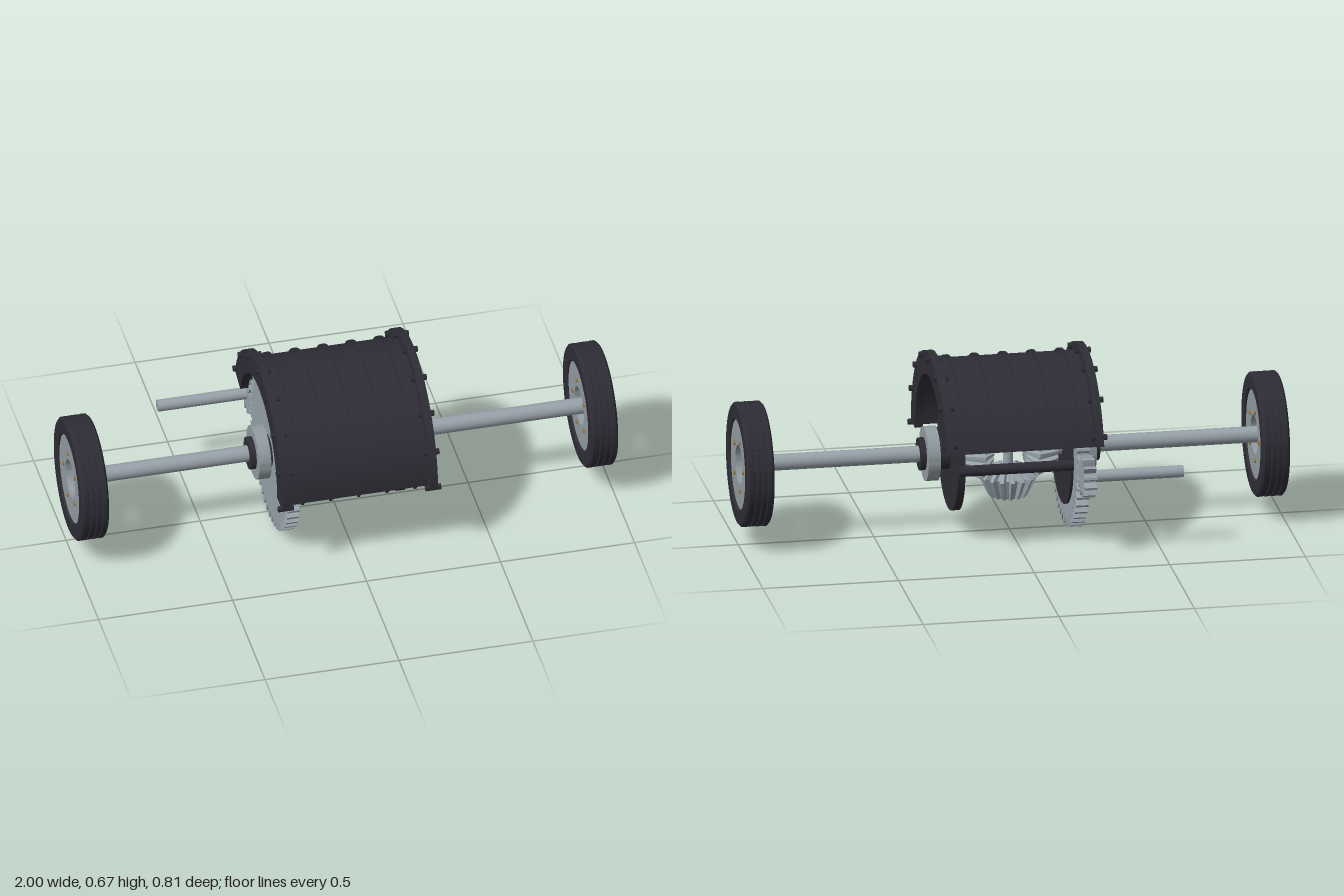
import * as THREE from 'three';
import { toCreasedNormals } from 'three/addons/utils/BufferGeometryUtils.js';

const AXIS_Y = 0.3, AXIS_Z = 0.03;

export function createModel() {
  const mat = (name, color) => {
    const m = new THREE.MeshStandardMaterial({ color });
    m.name = name;
    return m;
  };
  const dark = mat('dark casing', 0x2e2d36);
  const steel = mat('gear steel', 0x98a2aa);
  const plate = mat('hub grey', 0x929ca1);
  const brass = mat('brass', 0xa07838);

  const model = new THREE.Group();
  const drive = new THREE.Group();
  drive.name = 'driveLine';
  drive.position.set(0, AXIS_Y, AXIS_Z);
  model.add(drive);

  const add = (name, geo, material, parent = drive) => {
    const mesh = new THREE.Mesh(geo, material);
    mesh.name = name;
    parent.add(mesh);
    return mesh;
  };
  // Cylinder along x between x0 and x1
  const rod = (r, x0, x1, y = 0, z = 0, sides = 40) =>
    new THREE.CylinderGeometry(r, r, x1 - x0, sides)
      .rotateZ(-Math.PI / 2).translate((x0 + x1) / 2, y, z);
  // Flat shape (its x axis points to -z) extruded along x
  const slab = (shape, x0, x1) => toCreasedNormals(
    new THREE.ExtrudeGeometry(shape, { depth: x1 - x0, bevelEnabled: false, curveSegments: 48 })
      .rotateY(Math.PI / 2).translate(x0, 0, 0), 0.5);
  // Closed [radius, x] profile turned around the x axis
  const turned = (pts) => toCreasedNormals(
    new THREE.LatheGeometry([...pts, pts[0]].map(([r, y]) => new THREE.Vector2(r, y)), 64)
      .rotateZ(-Math.PI / 2), 0.5);
  const ring = (rIn, rOut, x0, x1) => turned([[rIn, x0], [rOut, x0], [rOut, x1], [rIn, x1]]);

  // Part-round arch, running from the front over the top to the rear
  const START = THREE.MathUtils.degToRad(17);
  const arch = (rIn, rOut, x0, x1) => {
    const s = new THREE.Shape();
    s.absarc(0, 0, rOut, START, Math.PI, false);
    s.absarc(0, 0, rIn, Math.PI, START, true);
    s.closePath();
    return slab(s, x0, x1);
  };

  // Spur gear outline
  const spur = (teeth, root, mid, tip, phase = 0) => {
    const pts = [];
    for (let i = 0; i < teeth; i++) {
      for (const [f, r] of [[-0.38, root], [-0.24, mid], [-0.12, tip], [0.12, tip], [0.24, mid], [0.38, root]]) {
        const a = ((i + f) / teeth) * Math.PI * 2 + phase;
        pts.push(new THREE.Vector2(r * Math.cos(a), r * Math.sin(a)));
      }
    }
    return new THREE.Shape(pts);
  };

  // Bevel gear with its axis on y, cone apex at the origin
  const bevelGear = (teeth = 16) => {
    const rows = [ // height, root radius, tip radius
      [0.06, 0, 0], [0.06, 0.038, 0.055], [0.1, 0.083, 0.107],
      [0.15, 0.066, 0.084], [0.175, 0.056, 0.07], [0.175, 0, 0]];
    const n = teeth * 4, pos = [], idx = [];
    for (const [y, root, tip] of rows) {
      for (let i = 0; i < n; i++) {
        const f = [-0.32, -0.16, 0.16, 0.32][i % 4];
        const a = ((Math.floor(i / 4) + f) / teeth) * Math.PI * 2;
        const r = i % 4 === 0 || i % 4 === 3 ? root : tip;
        pos.push(r * Math.cos(a), y, -r * Math.sin(a));
      }
    }
    for (let k = 0; k < rows.length - 1; k++) {
      for (let i = 0; i < n; i++) {
        const j = (i + 1) % n, a = k * n + i, b = k * n + j;
        idx.push(a, b, b + n, a, b + n, a + n);
      }
    }
    const g = new THREE.BufferGeometry();
    g.setAttribute('position', new THREE.Float32BufferAttribute(pos, 3));
    g.setIndex(idx);
    const flat = g.toNonIndexed();
    flat.computeVertexNormals();
    return flat;
  };

  // Wheels: grooved tyre, drilled hub plate and brass bolts
  const tyre = [[0.165, -0.046], [0.17, -0.05], [0.22, -0.05], [0.228, -0.043]];
  for (const x of [-0.022, 0, 0.022]) {
    tyre.push([0.228, x - 0.005], [0.222, x - 0.003], [0.222, x + 0.003], [0.228, x + 0.005]);
  }
  tyre.push([0.228, 0.043], [0.22, 0.05], [0.17, 0.05], [0.165, 0.046]);
  for (const side of [-1, 1]) {
    const wheel = new THREE.Group();
    wheel.name = side > 0 ? 'leftWheel' : 'rightWheel';
    wheel.position.x = side * 0.95;
    drive.add(wheel);
    add('tyre', turned(tyre), dark, wheel);
    add('hub', ring(0.072, 0.166, -0.042, 0.042), plate, wheel);
    for (let i = 0; i < 5; i++) {
      const a = (i / 5) * Math.PI * 2;
      add('hubBolt', rod(0.008, -0.047, 0.047, 0.097 * Math.sin(a), -0.097 * Math.cos(a), 6), brass, wheel);
    }
  }

  // Half shafts, bearings and carrier plates
  for (const s of [-1, 1]) {
    const span = (a, b) => (s > 0 ? [a, b] : [-b, -a]);
    add('halfShaft', rod(0.03, ...span(0.14, 0.92)), steel);
    add('bearing', rod(0.06, ...span(0.22, 0.33)), dark);
    add('bearingHolder', ring(0.06, 0.1, ...span(0.265, 0.31)), plate);
    add('carrierPlate', rod(0.212, ...span(0.195, s > 0 ? 0.222 : 0.204), 0, 0, 64), dark);
    add('carrierRod', rod(0.02, -0.2, 0.222, 0, s * 0.222, 16), dark);
  }

  // Ring gear and drive pinion
  add('ringGear', slab(spur(48, 0.264, 0.282, 0.297, Math.PI / 2), -0.25, -0.204), steel);
  const pinion = new THREE.Group();
  pinion.name = 'drivePinion';
  pinion.position.z = -0.36;
  drive.add(pinion);
  add('pinionGear', slab(spur(12, 0.054, 0.067, 0.078, 0.22), -0.25, -0.204), steel, pinion);
  add('pinionShaft', rod(0.022, -0.58, -0.23), steel, pinion);

  // Four meshing bevel gears on a vertical cross shaft
  const bevel = bevelGear();
  for (let i = 0; i < 4; i++) {
    add(i % 2 ? 'sideGear' : 'spiderGear', bevel, steel).rotation.z = (i * Math.PI) / 2;
  }
  add('crossShaft', new THREE.CylinderGeometry(0.018, 0.018, 0.37, 24), steel);

  // Ribbed housing with bolted end flanges
  add('housingShell', arch(0.325, 0.345, -0.285, 0.285), dark);
  for (let i = -2; i <= 2; i++) {
    add('housingRib', arch(0.34, 0.355, i * 0.105 - 0.006, i * 0.105 + 0.006), dark);
  }
  for (const s of [-1, 1]) {
    const c = s * 0.275;
    add('housingFlange', arch(0.29, 0.375, c - 0.015, c + 0.015), dark);
    for (let i = 0; i < 8; i++) {
      const a = (i * Math.PI) / 8;
      add('flangeBolt', rod(0.011, c - 0.029, c + 0.029, 0.361 * Math.sin(a), 0.361 * Math.cos(a), 6), dark);
    }
  }
  return model;
}
